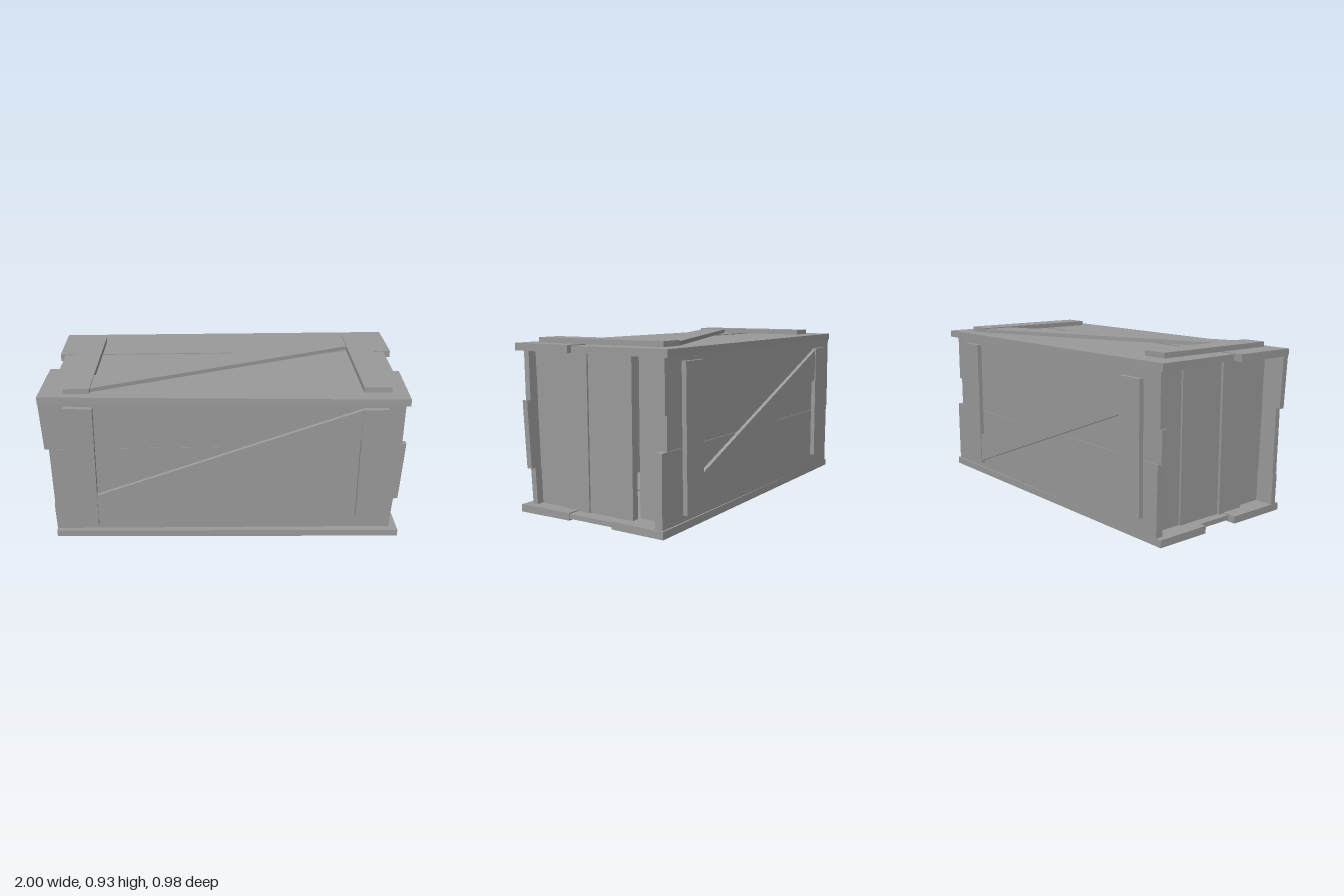
import * as THREE from 'three';

const material = new THREE.MeshStandardMaterial({ color: 0x9a9a9a, flatShading: true, side: THREE.DoubleSide });

// A board cut from a flat outline of [x, y] corners, with its thickness along z.
function board(name, corners, thickness, z = 0) {
  const shape = new THREE.Shape(corners.map(([x, y]) => new THREE.Vector2(x, y)));
  const geometry = new THREE.ExtrudeGeometry(shape, { depth: thickness, bevelEnabled: false });
  const mesh = new THREE.Mesh(geometry, material);
  mesh.name = name;
  mesh.position.z = z;
  return mesh;
}

// A board lying flat; corners are [x, z], y is its underside.
function flatBoard(name, corners, thickness, y) {
  const mesh = board(name, corners.map(([x, z]) => [x, -z]), thickness);
  mesh.rotation.x = -Math.PI / 2;
  mesh.position.y = y;
  return mesh;
}

// Two uprights joined by a diagonal, for a long side.
function sideBrace(name, longUpright, shortUpright, diagonal) {
  const brace = new THREE.Group();
  brace.name = name;
  brace.add(
    board('braceLongUpright', longUpright, 0.026),
    board('braceShortUpright', shortUpright, 0.026),
    board('braceDiagonal', diagonal, 0.021)
  );
  return brace;
}

// Five upright planks of mixed width; reaches are their outer faces, back to front.
function endWall(name, side, reaches) {
  const seams = [-0.416, -0.24, -0.14, 0.045, 0.215, 0.409];
  const end = new THREE.Group();
  end.name = name;
  reaches.forEach((reach, i) => {
    const plank = new THREE.Mesh(new THREE.BoxGeometry(0.04, 0.834, seams[i + 1] - seams[i]), material);
    plank.name = 'endPlank';
    plank.position.set(side * (reach - 0.02), 0.45, (seams[i] + seams[i + 1]) / 2);
    end.add(plank);
  });
  return end;
}

export function createModel() {
  const crate = new THREE.Group();
  crate.name = 'crate';

  // Front wall, leaning slightly outward
  const front = new THREE.Group();
  front.name = 'frontWall';
  front.add(
    board('frontLowerPlank', [[-0.98, 0.04], [0.95, 0.04], [0.955, 0.238], [-0.98, 0.212]], 0.033, -0.035),
    board('frontMiddlePlank', [[-0.975, 0.212], [0.98, 0.238], [0.988, 0.602], [-0.97, 0.577]], 0.032, -0.033),
    board('frontUpperPlank', [[-0.995, 0.577], [0.965, 0.602], [0.96, 0.86], [-1, 0.86]], 0.033, -0.035),
    sideBrace(
      'frontBrace',
      [[-0.885, 0.08], [-0.735, 0.073], [-0.71, 0.838], [-0.865, 0.845]],
      [[0.745, 0.13], [0.885, 0.13], [0.865, 0.827], [0.73, 0.825]],
      [[-0.733, 0.11], [0.735, 0.642], [0.73, 0.823], [-0.728, 0.283]]
    )
  );
  front.position.z = 0.411;
  front.rotation.x = 0.031;
  crate.add(front);

  // Back wall and its brace
  const back = new THREE.Group();
  back.name = 'backWall';
  back.add(
    board('backLowerPlank', [[-0.95, 0.04], [0.985, 0.04], [0.985, 0.412], [-0.955, 0.412]], 0.042, -0.458),
    board('backMiddlePlank', [[-0.975, 0.412], [0.935, 0.412], [0.935, 0.585], [-0.975, 0.585]], 0.035, -0.453),
    board('backUpperPlank', [[-0.965, 0.585], [0.955, 0.585], [0.955, 0.86], [-0.965, 0.86]], 0.04, -0.456)
  );
  const backBrace = sideBrace(
    'backBrace',
    [[-0.81, 0.075], [-0.66, 0.073], [-0.66, 0.833], [-0.82, 0.835]],
    [[0.705, 0.12], [0.855, 0.12], [0.85, 0.815], [0.7, 0.815]],
    [[-0.66, 0.09], [0.705, 0.62], [0.7, 0.805], [-0.66, 0.26]]
  );
  backBrace.rotation.y = Math.PI;
  backBrace.position.z = -0.46;
  back.add(backBrace);
  crate.add(back);

  // End walls
  crate.add(
    endWall('leftEndWall', 1, [0.865, 0.925, 0.91, 0.92, 0.91]),
    endWall('rightEndWall', -1, [0.885, 0.895, 0.885, 0.9, 0.875])
  );

  // Floor
  const floor = new THREE.Group();
  floor.name = 'floor';
  floor.add(
    flatBoard('floorBackPlank', [[-0.98, -0.455], [0.995, -0.469], [0.99, -0.155], [-0.98, -0.141]], 0.04, 0),
    flatBoard('floorMiddlePlank', [[-0.935, -0.141], [0.985, -0.155], [0.985, 0.123], [-0.935, 0.078]], 0.026, 0.009),
    flatBoard('floorFrontPlank', [[-0.98, 0.078], [0.99, 0.123], [0.995, 0.452], [-0.98, 0.435]], 0.04, 0)
  );
  crate.add(floor);

  // Lid, slightly wider at one end
  const lid = new THREE.Group();
  lid.name = 'lid';
  lid.add(
    flatBoard('lidBackPlank', [[-0.98, -0.458], [0.985, -0.493], [0.99, -0.178], [-0.975, -0.141]], 0.04, 0.86),
    flatBoard('lidMiddlePlank', [[-0.945, -0.141], [0.95, -0.178], [0.95, 0.118], [-0.945, 0.071]], 0.033, 0.862),
    flatBoard('lidFrontPlank', [[-0.995, 0.071], [0.98, 0.118], [0.97, 0.49], [-1, 0.442]], 0.04, 0.86),
    flatBoard('lidRightBatten', [[-0.865, -0.34], [-0.725, -0.34], [-0.725, 0.402], [-0.865, 0.402]], 0.028, 0.9),
    flatBoard('lidLeftBatten', [[0.725, -0.385], [0.87, -0.39], [0.885, 0.4], [0.735, 0.4]], 0.028, 0.9),
    flatBoard('lidDiagonal', [[-0.726, 0.21], [0.726, -0.385], [0.728, -0.2], [-0.726, 0.38]], 0.022, 0.9)
  );
  crate.add(lid);

  return crate;
}
